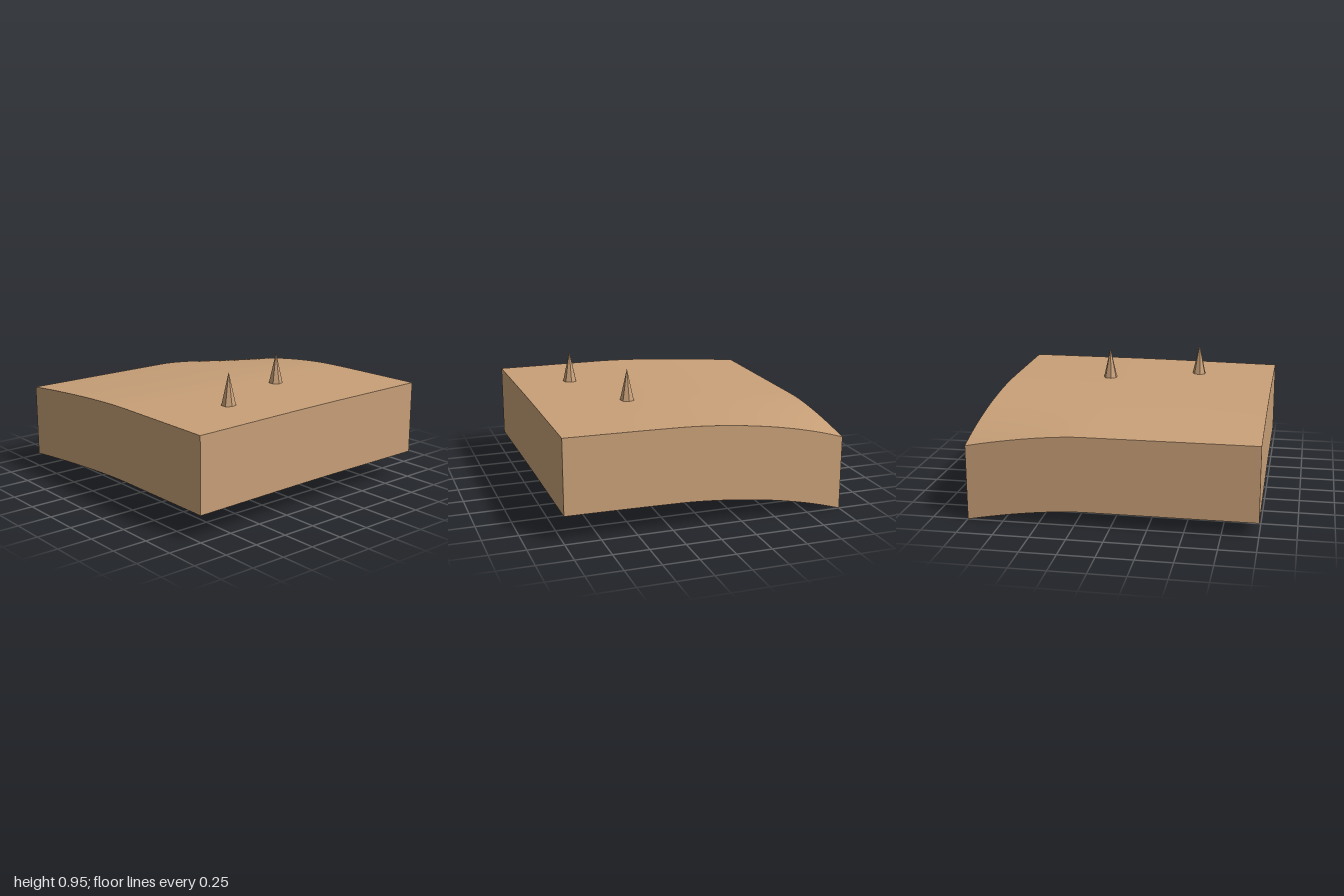
import * as THREE from 'three';

const SKIRT = 0.53; // constant depth of the side walls
const SEG = 24;

// Height of the lower rim; the top surface lies SKIRT above it
function rimHeight(x, z) {
  const slope = 0.08 * Math.pow(Math.max(0, (0.15 - x) / 1.15), 1.5);
  const rise = 0.018 * ((x + 1) / 2) * THREE.MathUtils.smoothstep(1 - z, -0.6, 1.3);
  const drop = 0.1 * Math.pow((1 - x) / 2, 4.2) * Math.pow(Math.max(0, (-0.2 - z) / 0.8), 1.6);
  return 0.18 - slope + rise - drop;
}

const topHeight = (x, z) => rimHeight(x, z) + SKIRT;

// Wall along an edge; (x, z) is given by edge(t) with t from -1 to 1
function wallGeometry(edge) {
  const g = new THREE.PlaneGeometry(2, 1, SEG, 1);
  const p = g.attributes.position;
  for (let i = 0; i < p.count; i++) {
    const [x, z] = edge(p.getX(i));
    const y = rimHeight(x, z) + (p.getY(i) > 0 ? SKIRT : 0);
    p.setXYZ(i, x, y, z);
  }
  g.computeVertexNormals();
  return g;
}

export function createModel() {
  const group = new THREE.Group();
  const sand = new THREE.MeshStandardMaterial({ color: 0xc8a078 });
  sand.name = 'sand';
  sand.side = THREE.DoubleSide;
  const sandFaceted = sand.clone();
  sandFaceted.name = 'sand faceted';
  sandFaceted.flatShading = true;

  const add = (name, geometry, material) => {
    const mesh = new THREE.Mesh(geometry, material);
    mesh.name = name;
    group.add(mesh);
    return mesh;
  };

  // Gently rolling ground surface
  const ground = new THREE.PlaneGeometry(2, 2, SEG, SEG).rotateX(-Math.PI / 2);
  const p = ground.attributes.position;
  for (let i = 0; i < p.count; i++) p.setY(i, topHeight(p.getX(i), p.getZ(i)));
  ground.computeVertexNormals();
  add('groundSurface', ground, sand);

  // Open-bottomed side walls
  const edges = {
    frontWall: t => [t, 1],
    backWall: t => [-t, -1],
    leftWall: t => [1, -t],
    rightWall: t => [-1, t],
  };
  for (const [name, edge] of Object.entries(edges)) add(name, wallGeometry(edge), sand);

  // Seven-sided spikes standing on the ground
  for (const [x, z] of [[0.333, -0.25], [0.583, 0.417]]) {
    const base = topHeight(x, z) - 0.005;
    const height = 0.95 - base;
    const spike = add('spike', new THREE.ConeGeometry(0.053, height, 7), sandFaceted);
    spike.position.set(x, base + height / 2, z);
    spike.rotation.y = Math.PI;
  }
  return group;
}
